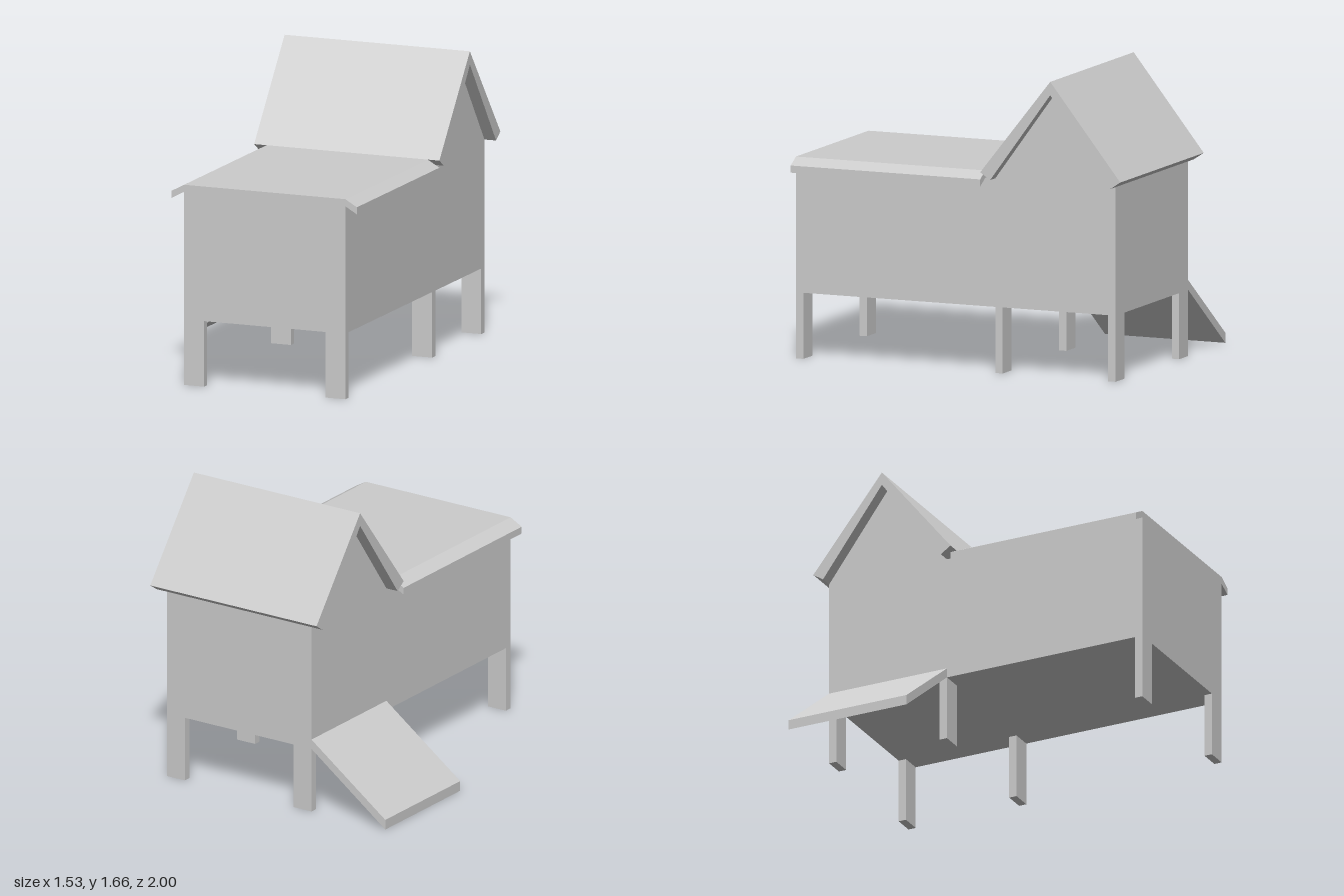
import * as THREE from 'three';

const material = new THREE.MeshStandardMaterial({ color: 0xcccccc, flatShading: true });

// Extrudes an (x, y) outline from z0 to z1
function prismAlongZ(points, z0, z1) {
  const shape = new THREE.Shape(points.map(([x, y]) => new THREE.Vector2(x, y)));
  const geometry = new THREE.ExtrudeGeometry(shape, { depth: z1 - z0, bevelEnabled: false });
  return geometry.translate(0, 0, z0);
}

// Extrudes a (z, y) outline from x0 to x1
function prismAlongX(points, x0, x1) {
  return prismAlongZ(points.map(([z, y]) => [-z, y]), x0, x1).rotateY(Math.PI / 2);
}

export function createModel() {
  const group = new THREE.Group();
  const add = (name, geometry) => {
    const mesh = new THREE.Mesh(geometry, material);
    mesh.name = name;
    group.add(mesh);
    return mesh;
  };

  const left = 0.695, right = -0.275;       // side walls
  const front = 1, middle = -0.21, back = -0.94;
  const floor = 0.37, eave = 1.09, ridge = -0.575;

  // Long run and gabled house in one outline
  add('body', prismAlongX([
    [front, floor], [front, eave], [middle, eave], [ridge, 1.59], [back, eave], [back, floor],
  ], right, left));

  // Steep roof over the house
  add('gableRoof', prismAlongX([
    [-0.15, 1.13], [ridge, 1.665], [-1, 1.13], [back, eave], [ridge, 1.59], [middle, eave],
  ], -0.35, 0.765));

  // Flat roof with drooping eaves over the run
  add('runRoof', prismAlongZ([
    [-0.35, 1.05], [right, eave], [left, eave], [0.765, 1.05],
    [0.765, 1.09], [left, 1.13], [right, 1.13], [-0.35, 1.09],
  ], -0.15, front));

  // Three pairs of plank legs, flush with the walls
  const legWidth = 0.12, legDepth = 0.045;
  for (const z of [front - legDepth / 2, middle - legDepth / 2, back + legDepth / 2]) {
    for (const x of [left - legWidth / 2, right + legWidth / 2]) {
      add('leg', new THREE.BoxGeometry(legWidth, floor, legDepth)).position.set(x, floor / 2, z);
    }
  }

  // Ramp down from the right side of the house
  add('ramp', prismAlongZ([
    [-0.77, 0], [right, floor], [right, 0.425], [-0.77, 0.057],
  ], back, middle));

  return group;
}
